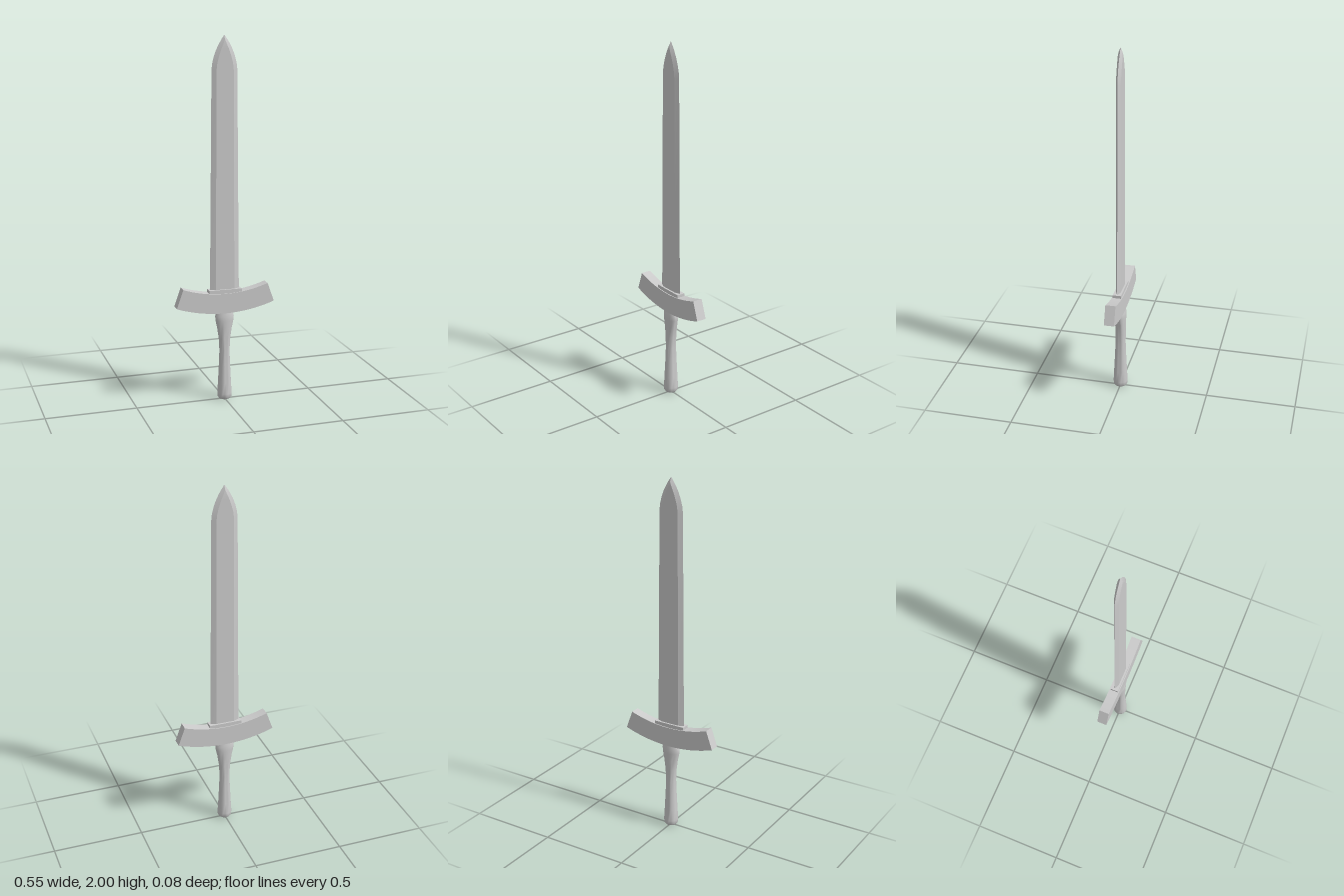
import * as THREE from 'three';
import { toCreasedNormals } from 'three/addons/utils/BufferGeometryUtils.js';

const material = new THREE.MeshStandardMaterial({ color: 0xcccccc });

// Skins a stack of equal-length rings (bottom to top, running +x to +z) and caps both ends.
function loft(rings) {
  const n = rings[0].length;
  const index = [];
  for (let r = 0; r < rings.length - 1; r++) {
    for (let i = 0; i < n; i++) {
      const a = r * n + i, b = r * n + (i + 1) % n;
      index.push(a, a + n, b, b, a + n, b + n);
    }
  }
  const top = (rings.length - 1) * n;
  for (let i = 1; i < n - 1; i++) {
    index.push(0, i, i + 1, top, top + i + 1, top + i);
  }
  const geometry = new THREE.BufferGeometry();
  geometry.setAttribute('position', new THREE.Float32BufferAttribute(rings.flat(2), 3));
  geometry.setIndex(index);
  return geometry;
}

function addPart(group, name, geometry, crease = 0.5) {
  const mesh = new THREE.Mesh(toCreasedNormals(geometry, crease), material);
  mesh.name = name;
  group.add(mesh);
  return mesh;
}

// Six-sided blade: flat faces with bevelled edges, closing to a point.
function bladeGeometry() {
  // height, half width, half width of the flat, half thickness
  const rows = [
    [0.58, 0.083, 0.053, 0.013], [1.2, 0.077, 0.05, 0.013],
    [1.82, 0.071, 0.047, 0.013], [1.855, 0.067, 0.043, 0.013],
    [1.89, 0.058, 0.034, 0.013], [1.925, 0.045, 0.022, 0.013],
    [1.955, 0.03, 0.009, 0.013], [1.975, 0.018, 0.001, 0.011],
    [2, 0.0005, 0.0003, 0.001],
  ];
  return loft(rows.map(([y, w, f, t]) => [
    [w, y, 0], [f, y, t], [-f, y, t], [-w, y, 0], [-f, y, -t], [f, y, -t],
  ]));
}

// Crossguard: a bar swept along an arc, ends rising toward the blade.
function guardGeometry() {
  const centre = 1.323, outer = 0.823, inner = 0.713, angle = 0.343;
  const shape = new THREE.Shape();
  shape.absarc(0, centre, outer, -Math.PI / 2 - angle, -Math.PI / 2 + angle, false);
  shape.absarc(0, centre, inner, -Math.PI / 2 + angle, -Math.PI / 2 - angle, true);
  shape.closePath();
  const geometry = new THREE.ExtrudeGeometry(shape, {
    depth: 0.056, bevelEnabled: false, curveSegments: 16,
  });
  return geometry.translate(0, 0, -0.028);
}

// Grip: round at the pommel, flattening to an oval under the guard.
function gripGeometry() {
  // height, half width, half depth
  const rows = [
    [0, 0.022, 0.022], [0.005, 0.032, 0.032], [0.015, 0.039, 0.039],
    [0.035, 0.04, 0.04], [0.1, 0.036, 0.037], [0.2, 0.031, 0.032],
    [0.28, 0.028, 0.029], [0.35, 0.032, 0.029], [0.41, 0.041, 0.03],
    [0.455, 0.051, 0.031], [0.48, 0.053, 0.031], [0.495, 0.048, 0.028],
    [0.52, 0.045, 0.026],
  ];
  const sides = 24;
  return loft(rows.map(([y, w, d]) => Array.from({ length: sides }, (_, i) => {
    const a = (i / sides) * Math.PI * 2;
    return [w * Math.cos(a), y, d * Math.sin(a)];
  })));
}

export function createModel() {
  const group = new THREE.Group();
  group.name = 'sword';
  addPart(group, 'blade', bladeGeometry(), 0.2);
  addPart(group, 'crossguard', guardGeometry());
  // Low collar seating the blade in the guard
  addPart(group, 'collar', new THREE.BoxGeometry(0.184, 0.05, 0.046)).position.y = 0.607;
  addPart(group, 'grip', gripGeometry(), 0.8);
  return group;
}
